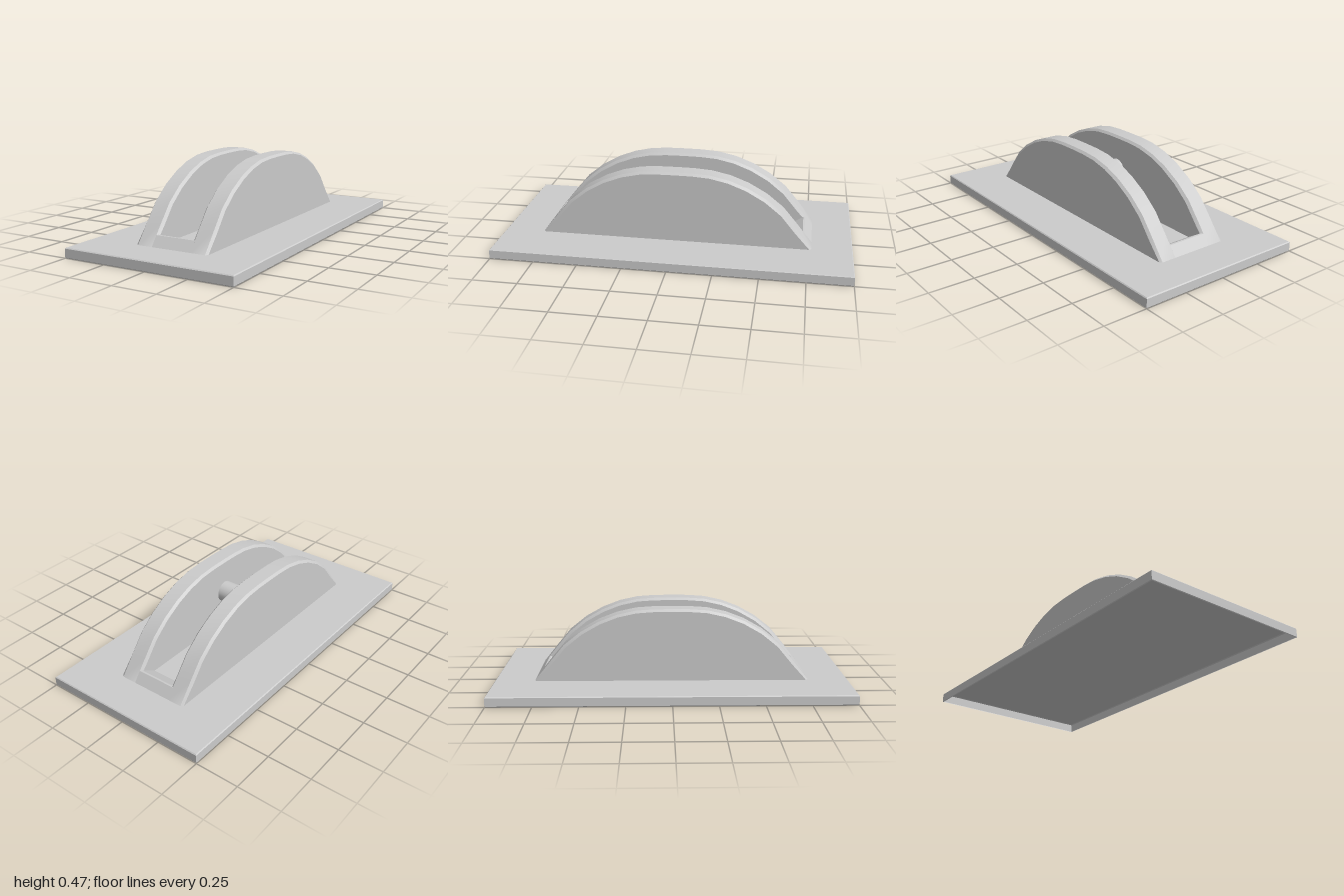
import * as THREE from 'three';
import { toCreasedNormals } from 'three/addons/utils/BufferGeometryUtils.js';

const material = new THREE.MeshStandardMaterial({ color: 0xcccccc, side: THREE.DoubleSide });
const FLOOR = 0.056;

// Quad grid from equal-length rows of [x, y, z] points
function loft(rows, crease = 0.6) {
  const n = rows[0].length;
  const index = [];
  for (let i = 0; i < rows.length - 1; i++) {
    for (let j = 0; j < n - 1; j++) {
      const a = i * n + j, b = a + n;
      index.push(a, b, a + 1, a + 1, b, b + 1);
    }
  }
  const geo = new THREE.BufferGeometry();
  geo.setAttribute('position', new THREE.Float32BufferAttribute(rows.flat(2), 3));
  geo.setIndex(index);
  return toCreasedNormals(geo, crease);
}

// Arched outline from front to back as [z, y]
const half = [[0.773, FLOOR], [0.69, 0.16], [0.605, 0.262], [0.51, 0.338], [0.407, 0.396],
  [0.305, 0.435], [0.2, 0.458], [0.1, 0.465]];
const arch = [...half, [0, 0.466], ...half.slice().reverse().map(([z, y]) => [-z, y])];

// One arched cheek with chamfered rims; side is +1 or -1
function cheekGeometry(side) {
  const rows = arch.map(([z, y]) => {
    const zi = z * 0.985, yi = Math.max(FLOOR, y - 0.013);
    const row = [
      [0.218, FLOOR, zi], [0.218, yi, zi], [0.205, y, z],
      [0.118, y, z], [0.105, yi, zi], [0.105, FLOOR, zi],
    ];
    return side > 0 ? row : row.reverse().map(([x, py, pz]) => [-x, py, pz]);
  });
  return loft(rows);
}

// Low wedge closing one end of the slot
function wedgeGeometry(side) {
  const rows = [[0.773, FLOOR], [0.73, 0.11], [0.72, 0.111], [0.63, FLOOR]].map(
    ([z, y]) => [[0.118 * side, y, z * side], [-0.118 * side, y, z * side]]);
  return loft(rows);
}

// Thin base shell, open underneath, with a slightly softened top edge
function baseGeometry() {
  const ring = (w, d, y) => [[w, y, d], [w, y, -d], [-w, y, -d], [-w, y, d], [w, y, d]];
  return loft([
    ring(0, 0, FLOOR), ring(0.495, 0.995, FLOOR),
    ring(0.5, 1, FLOOR - 0.005), ring(0.5, 1, 0.004), ring(0.497, 0.997, 0),
  ]);
}

export function createModel() {
  const group = new THREE.Group();
  const add = (name, geometry) => {
    const mesh = new THREE.Mesh(geometry, material);
    mesh.name = name;
    group.add(mesh);
    return mesh;
  };

  add('basePlate', baseGeometry());
  add('leftCheek', cheekGeometry(1));
  add('rightCheek', cheekGeometry(-1));
  add('frontWedge', wedgeGeometry(1));
  add('backWedge', wedgeGeometry(-1));

  // Cross pin between the cheeks
  const pin = add('crossPin', new THREE.CylinderGeometry(0.062, 0.062, 0.212, 24, 1, true));
  pin.rotation.z = Math.PI / 2;
  pin.position.y = 0.263;

  return group;
}
